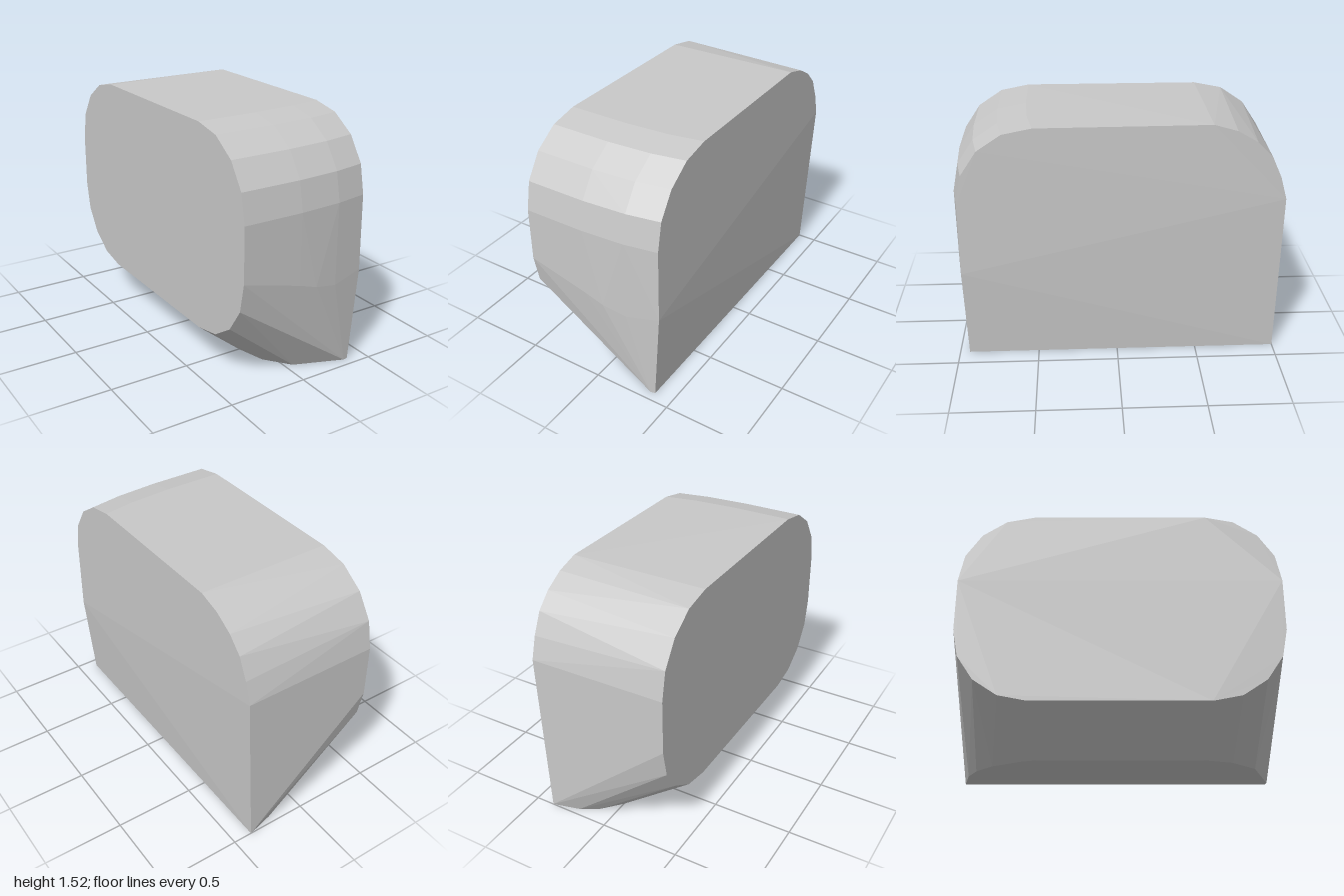
import * as THREE from 'three';
import { ConvexGeometry } from 'three/addons/geometries/ConvexGeometry.js';

const V = (x, y, z) => new THREE.Vector3(x, y, z);

// Quarter-round edge in the z-y plane: dir is the z side, up is +1 (top) or -1 (bottom)
function roundedEdge(x, dir, up, inset = 0, cy = 1.055) {
  const pts = [];
  const r = 0.46;
  for (let i = 0; i <= 4; i++) {
    const a = (i / 4) * Math.PI / 2;
    pts.push(V(x, cy + up * r * Math.sin(a), dir * (0.54 - inset + r * Math.cos(a))));
  }
  return pts;
}

export function createModel() {
  const group = new THREE.Group();
  const grey = new THREE.MeshStandardMaterial({ color: 0xc8c8c8, flatShading: true });
  grey.name = 'light grey';

  const points = [];

  // Fully rounded end, on the -x side
  for (const dir of [-1, 1]) {
    points.push(...roundedEdge(-0.43, dir, 1), ...roundedEdge(-0.43, dir, -1, 0, 0.718));
  }

  // Front top edge, curving back towards the +x side
  for (const [x, inset] of [[-0.05, 0], [0.22, 0.018], [0.425, 0.055]]) {
    points.push(...roundedEdge(x, 1, 1, inset));
  }

  // Back top edge of the flat end
  for (const [y, z] of [[1.52, -0.55], [1.48, -0.69], [1.41, -0.81], [1.32, -0.9], [1.19, -0.96], [1.05, -1]]) {
    points.push(V(0.425, y, z));
  }

  // Lower front
  points.push(V(0.425, 0.59, 0.95), V(0.22, 0.55, 0.982), V(0.07, 0.58, 0.998), V(-0.05, 0.62, 1));

  // Flat base
  for (const [x, z] of [
    [0.38, 0.94], [0.35, 0.945], [0.05, 0.83], [-0.07, 0.68], [-0.12, 0.5],
    [-0.12, -0.5], [-0.09, -0.6], [0, -0.78], [0.1, -0.89], [0.21, -0.955], [0.38, -1],
  ]) points.push(V(x, 0, z));

  const body = new THREE.Mesh(new ConvexGeometry(points), grey);
  body.name = 'roundedBlock';
  group.add(body);
  return group;
}
